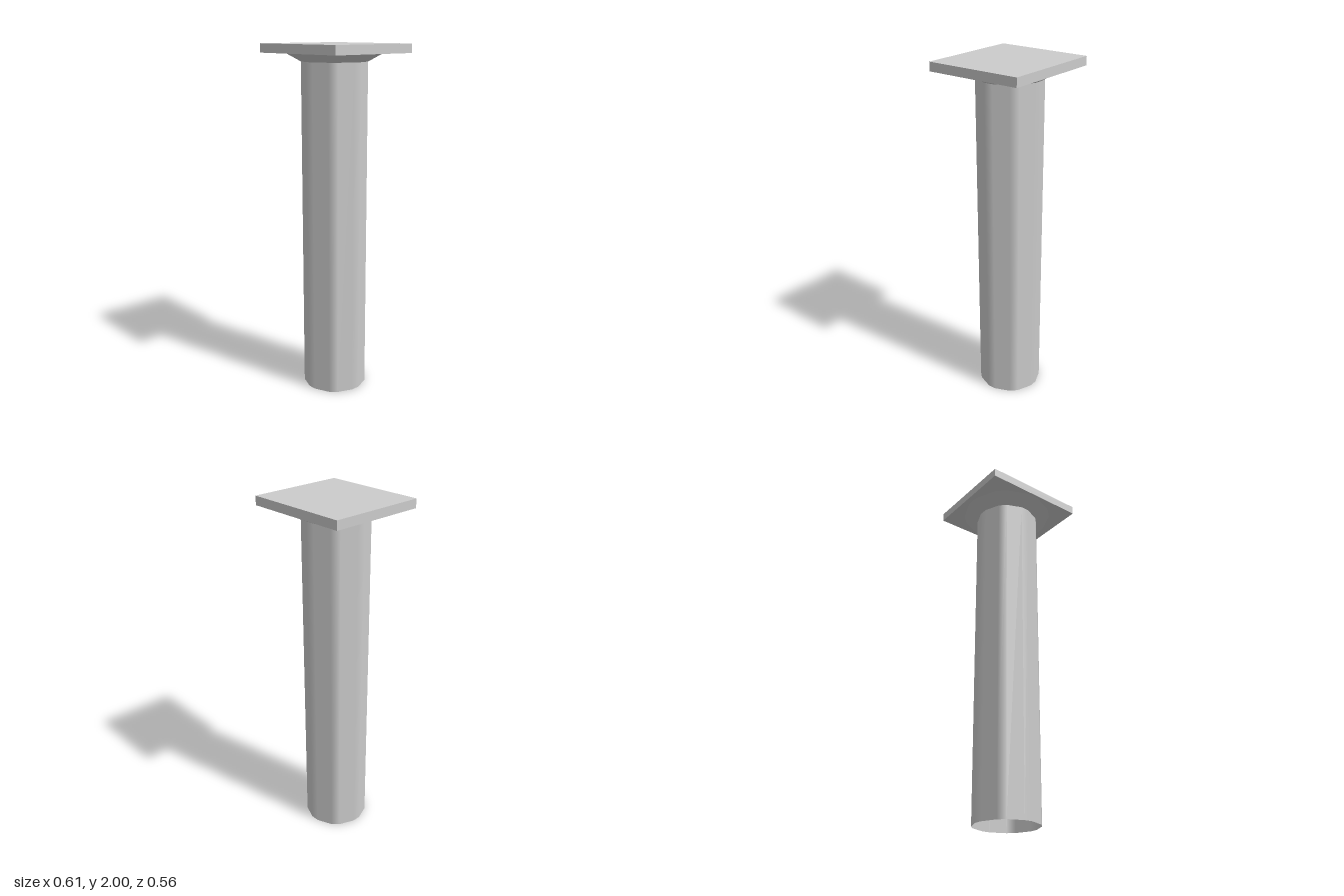
import * as THREE from 'three';

const material = new THREE.MeshStandardMaterial({ color: 0xcccccc, side: THREE.DoubleSide });

// Open eight-sided sleeve with narrow softened corners, from radius r0 at y0 to r1 at y1
function octagonSleeve(name, r0, y0, r1, y1) {
  const sides = 8, bevel = 0.025, positions = [], normals = [], index = [];
  const slope = new THREE.Vector2(y1 - y0, r0 - r1).normalize(); // outward, upward parts of the normal
  for (let k = 0; k < sides; k++) {
    const a = (k / sides) * Math.PI * 2;
    for (const s of [-1, 1]) {
      const n = a + s * Math.PI / sides;
      for (const [r, y] of [[r0, y0], [r1, y1]]) {
        const t = s * bevel * r / 0.183;
        positions.push(r * Math.sin(a) + t * Math.cos(a), y, r * Math.cos(a) - t * Math.sin(a));
        normals.push(Math.sin(n) * slope.x, slope.y, Math.cos(n) * slope.x);
      }
    }
  }
  const count = sides * 4;
  for (let i = 0; i < count; i += 2) {
    const j = (i + 2) % count;
    index.push(i, j, j + 1, i, j + 1, i + 1);
  }
  const geometry = new THREE.BufferGeometry();
  geometry.setAttribute('position', new THREE.Float32BufferAttribute(positions, 3));
  geometry.setAttribute('normal', new THREE.Float32BufferAttribute(normals, 3));
  geometry.setIndex(index);
  const mesh = new THREE.Mesh(geometry, material);
  mesh.name = name;
  mesh.position.x = -0.006;
  return mesh;
}

export function createModel() {
  const group = new THREE.Group();
  group.name = 'column';

  // Hollow shaft, open at the foot, and the flared capital above it
  group.add(octagonSleeve('shaft', 0.183, 0, 0.183, 1.905));
  group.add(octagonSleeve('capital', 0.183, 1.905, 0.265, 1.95));

  // Flat slab on top
  const slab = new THREE.Mesh(new THREE.BoxGeometry(0.61, 0.05, 0.56), material);
  slab.name = 'topSlab';
  slab.position.y = 1.975;
  group.add(slab);

  return group;
}
